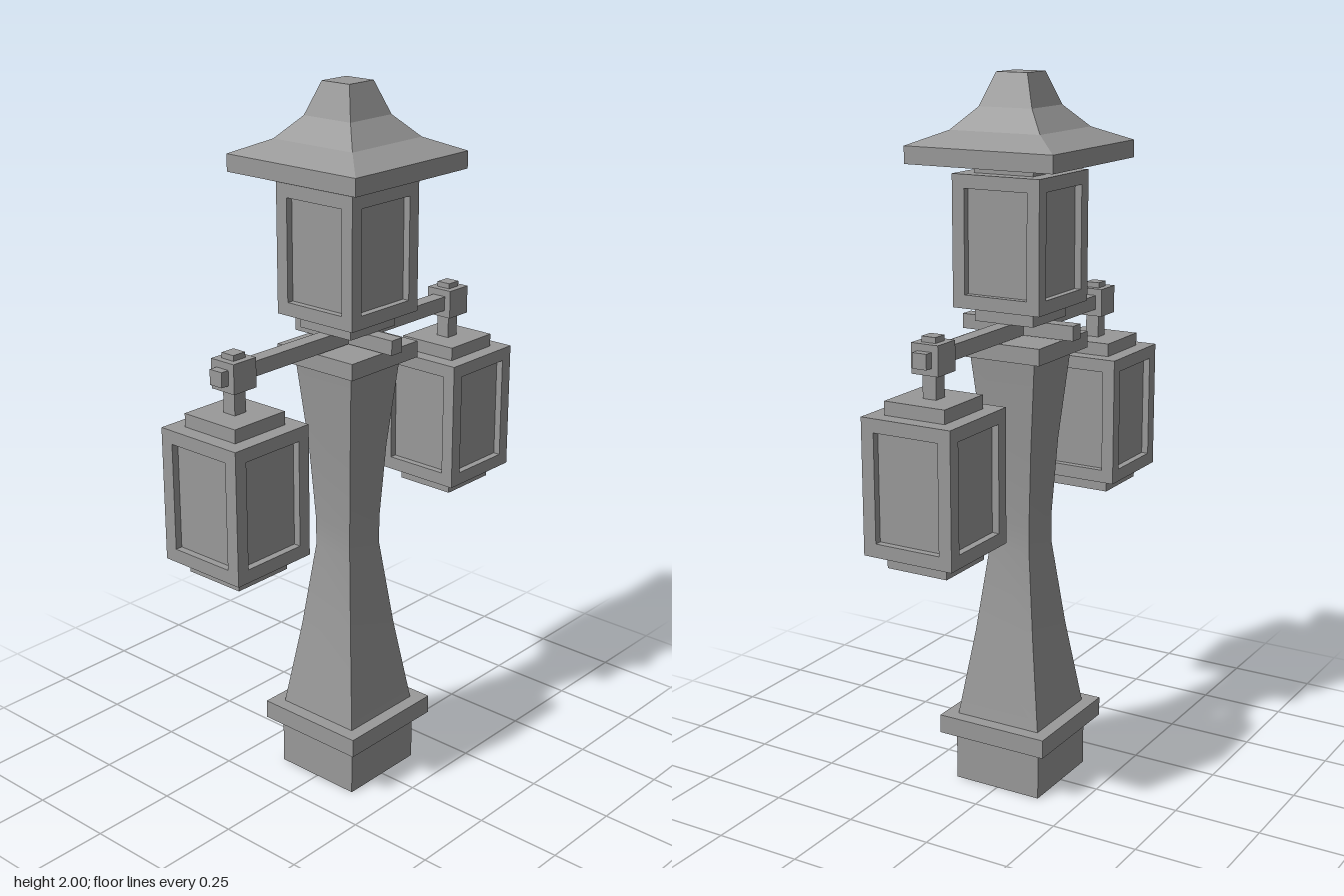
import * as THREE from 'three';
import { toCreasedNormals } from 'three/addons/utils/BufferGeometryUtils.js';

const solid = new THREE.MeshStandardMaterial({ color: 0x999999 });
const open = new THREE.MeshStandardMaterial({ color: 0x999999, side: THREE.DoubleSide });

function add(parent, name, geometry, material = solid) {
  const mesh = new THREE.Mesh(geometry, material);
  mesh.name = name;
  parent.add(mesh);
  return mesh;
}

// Box given by its half sizes in x and z and its bottom and top heights
function block(parent, name, hx, hz, y0, y1, x = 0) {
  const mesh = add(parent, name, new THREE.BoxGeometry(hx * 2, y1 - y0, hz * 2));
  mesh.position.set(x, (y0 + y1) / 2, 0);
}

// Square tower from [half width, height] pairs, running bottom to top;
// gentle bends are shaded smooth, corners stay sharp
function squareLathe(parent, name, profile, material) {
  const points = profile.map(([h, y]) => new THREE.Vector2(h * Math.SQRT2, y));
  const geometry = toCreasedNormals(new THREE.LatheGeometry(points, 4, Math.PI / 4), 0.3);
  add(parent, name, geometry, material);
}

function rectangle(Path, hw, y0, y1) {
  return new Path([[-hw, y0], [hw, y0], [hw, y1], [-hw, y1]].map(([x, y]) => new THREE.Vector2(x, y)));
}

// Lantern with four sunken panes; y = 0 is the bottom of its body
function createLantern(name, height, capHeight) {
  const lantern = new THREE.Group();
  lantern.name = name;
  const half = 0.1325, depth = 0.02, border = 0.037;
  block(lantern, 'panes', half - depth, half - depth, 0, height);

  const shape = rectangle(THREE.Shape, half, 0, height);
  shape.holes.push(rectangle(THREE.Path, half - border, border, height - border));
  const frame = new THREE.ExtrudeGeometry(shape, { depth, bevelEnabled: false });
  frame.translate(0, 0, half - depth);
  for (let i = 0; i < 4; i++) {
    add(lantern, 'windowFrame', frame).rotation.y = i * Math.PI / 2;
  }

  block(lantern, 'topCap', 0.09, 0.09, height, height + capHeight);
  // Bottom rim is hollow
  squareLathe(lantern, 'bottomRim', [[0.09, -0.04], [0.09, 0]], open);
  return lantern;
}

export function createModel() {
  const model = new THREE.Group();
  model.name = 'lampPost';

  // Hollow foot, collars and waisted shaft
  squareLathe(model, 'foot', [[0.134, 0], [0.134, 0.146]], open);
  block(model, 'lowerCollar', 0.168, 0.168, 0.146, 0.2);
  squareLathe(model, 'shaft', [[0.13, 0.2], [0.093, 0.45], [0.063, 0.7], [0.063, 0.78], [0.076, 1.0], [0.1, 1.252]]);
  block(model, 'upperCollar', 0.134, 0.134, 1.252, 1.298);

  // Crossed arms
  block(model, 'longArm', 0.4, 0.021, 1.302, 1.343);
  block(model, 'shortArm', 0.021, 0.173, 1.302, 1.343);

  // Central lantern and flared roof
  const top = createLantern('centralLantern', 0.357, 0.03);
  top.position.y = 1.383;
  model.add(top);
  squareLathe(model, 'roof', [
    [0, 1.768], [0.222, 1.768], [0.222, 1.815], [0.136, 1.853], [0.08, 1.912], [0.047, 2], [0, 2],
  ]);

  // Hanging lanterns at both arm ends
  for (const side of [-1, 1]) {
    const x = side * 0.433;
    const hanging = createLantern(side > 0 ? 'leftLantern' : 'rightLantern', 0.367, 0.037);
    hanging.position.set(x, 0.812, 0);
    model.add(hanging);
    block(model, 'hangerRod', 0.02, 0.02, 1.215, 1.29, x);
    block(model, 'armKnob', 0.04, 0.04, 1.282, 1.362, x);
    block(model, 'knobTop', 0.021, 0.021, 1.362, 1.377, x);
    block(model, 'knobEnd', 0.012, 0.021, 1.302, 1.343, x + side * 0.052);
  }
  return model;
}
